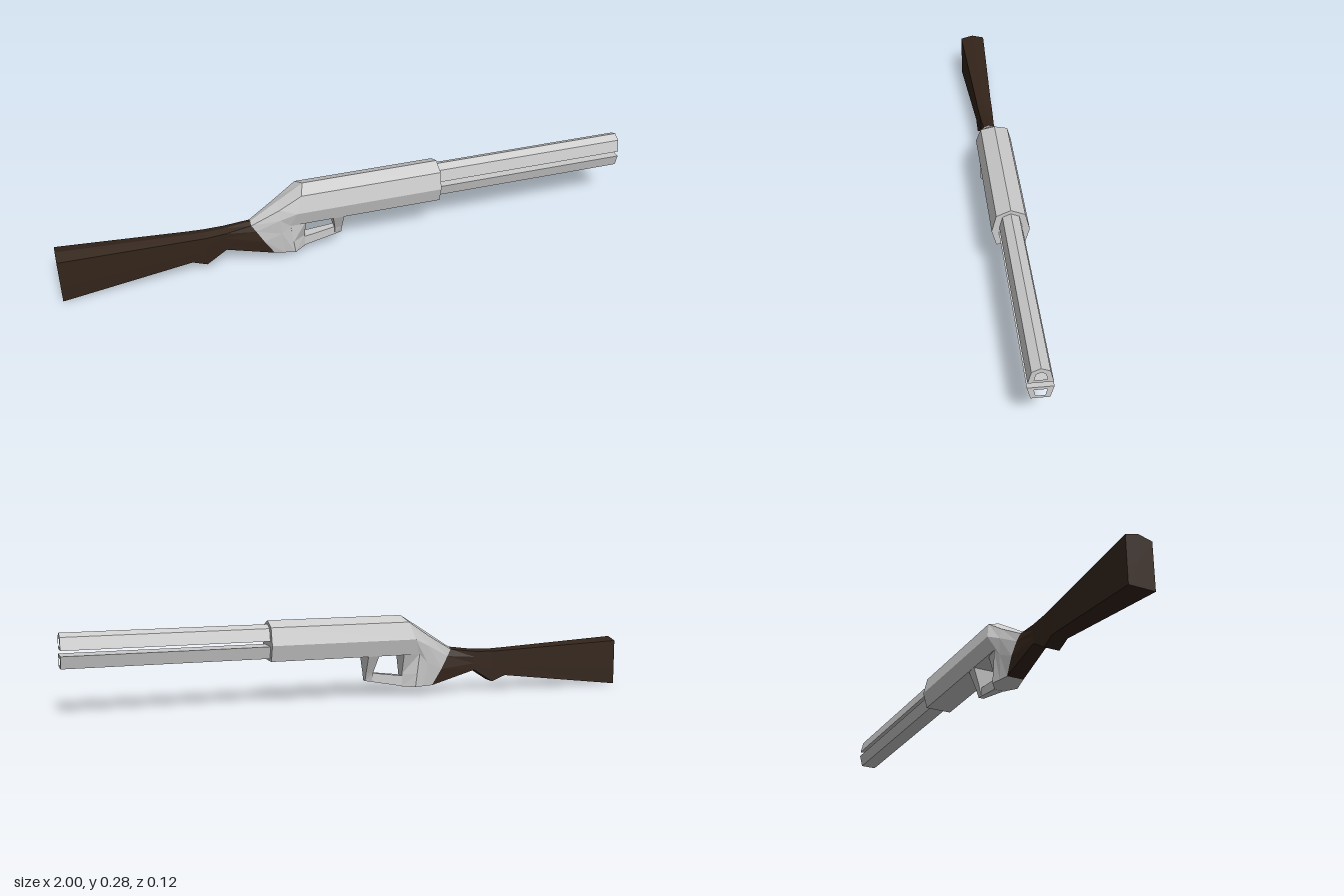
import * as THREE from 'three';

const metal = new THREE.MeshStandardMaterial({ color: 0xcccccc, flatShading: true });
const wood = new THREE.MeshStandardMaterial({ color: 0x33241a, flatShading: true });

// Skin a run of equal-length rings of [x, y, z] and close both ends.
function loft(name, rings, material) {
  const n = rings[0].length;
  const pos = [];
  const tri = (...pts) => pts.forEach((p) => pos.push(...p));
  for (let k = 0; k < rings.length - 1; k++) {
    for (let i = 0; i < n; i++) {
      const j = (i + 1) % n;
      const a = rings[k][i], b = rings[k][j], c = rings[k + 1][j], d = rings[k + 1][i];
      tri(a, b, c);
      tri(a, c, d);
    }
  }
  const centre = (r) => [0, 1, 2].map((m) => r.reduce((s, p) => s + p[m], 0) / n);
  const first = rings[0], last = rings[rings.length - 1];
  const c0 = centre(first), c1 = centre(last);
  for (let i = 0; i < n; i++) {
    const j = (i + 1) % n;
    tri(c0, first[j], first[i]);
    tri(c1, last[i], last[j]);
  }
  const geo = new THREE.BufferGeometry();
  geo.setAttribute('position', new THREE.Float32BufferAttribute(pos, 3));
  geo.computeVertexNormals();
  const mesh = new THREE.Mesh(geo, material);
  mesh.name = name;
  return mesh;
}

// Complete a half ring (top to bottom on the +z side) with its mirror image.
function mirrorRing(half) {
  const other = half.filter((p) => p[2] > 0).map(([x, y, z]) => [x, y, -z]).reverse();
  return [...half, ...other];
}

// Rectangle at one height, for parts stacked upwards.
const slab = (y, x0, z0, x1, z1) => [[x0, y, z0], [x1, y, z1], [x1, y, -z1], [x0, y, -z0]];

// Hollow straight tube along x from a half outline of [z, y] and a half bore.
function tube(name, outer, bore, x0, x1) {
  const full = (half) => [
    ...half,
    ...half.filter((p) => p[0] > 0).map(([z, y]) => [-z, y]).reverse(),
  ].map(([z, y]) => new THREE.Vector2(z, y));
  const group = new THREE.Group();
  group.name = name;
  const add = (part, shape, from, to) => {
    const geo = new THREE.ExtrudeGeometry(shape, { depth: to - from, bevelEnabled: false });
    geo.rotateY(Math.PI / 2).translate(from, 0, 0);
    const mesh = new THREE.Mesh(geo, metal);
    mesh.name = part;
    group.add(mesh);
  };
  const wall = new THREE.Shape(full(outer));
  wall.holes.push(new THREE.Path(full(bore)));
  add('tubeWall', wall, x0, x1);
  add('boreEnd', new THREE.Shape(full(bore)), x0, x1 - 0.1);
  return group;
}

export function createModel() {
  const model = new THREE.Group();

  // Slanted joint between stock and receiver, and the rear of the main body
  const joint = [[-0.35, 0.165, 0], [-0.35, 0.158, 0.019], [-0.335, 0.135, 0.026], [-0.31, 0.092, 0.032], [-0.275, 0.035, 0.03]];
  const waist = [[-0.255, 0.227, 0], [-0.255, 0.214, 0.037], [-0.255, 0.178, 0.046], [-0.25, 0.12, 0.043], [-0.24, 0.035, 0.038]];
  const rear = [[-0.165, 0.285, 0], [-0.18, 0.265, 0.047], [-0.2, 0.205, 0.062], [-0.22, 0.15, 0.047], [-0.205, 0.035, 0.047]];
  const front = rear.slice(0, 4).map(([, y, z]) => [0.315, y, z]);

  // Stock: [x, top, bottom, half width]
  const stockRings = [
    [-1, 0.175, 0.003, 0.045],
    [-0.56, 0.153, 0.055, 0.028],
    [-0.51, 0.151, 0.035, 0.027],
    [-0.44, 0.153, 0.08, 0.024],
  ].map(([x, top, bottom, w]) => {
    const shoulder = top - w * 0.25;
    const at = (t) => [x, shoulder + (bottom - shoulder) * t, w];
    return mirrorRing([[x, top, 0], at(0), at(0.3), at(0.65), at(1)]);
  });
  model.add(loft('stock', [...stockRings, mirrorRing(joint)], wood));

  // Receiver
  model.add(loft('receiverRear', [joint, waist, rear].map(mirrorRing), metal));
  model.add(loft('receiverBody', [rear.slice(0, 4), front].map(mirrorRing), metal));
  model.add(loft('gripFront', [
    slab(0.035, -0.205, 0.047, -0.165, 0.018),
    slab(0.08, -0.211, 0.047, -0.165, 0.018),
    slab(0.152, -0.22, 0.047, -0.165, 0.04),
  ], metal));

  // Trigger guard: sloping lower bar and flared front post
  const barEnd = (x, bottom, top, z) => [[x, top, z], [x, bottom, z], [x, bottom, -z], [x, top, -z]];
  model.add(loft('guardBar', [barEnd(-0.17, 0.035, 0.072, 0.018), barEnd(-0.033, 0.06, 0.09, 0.01)], metal));
  model.add(loft('guardPost', [
    slab(0.06, -0.055, 0.012, -0.031, 0.009),
    slab(0.09, -0.057, 0.02, -0.031, 0.02),
    slab(0.152, -0.07, 0.047, -0.031, 0.047),
  ], metal));

  // Upper and lower tubes
  model.add(tube('upperTube',
    [[0, 0.272], [0.027, 0.26], [0.037, 0.218]],
    [[0, 0.257], [0.014, 0.25], [0.019, 0.228]], 0.3, 1));
  model.add(tube('lowerTube',
    [[0.039, 0.2], [0.028, 0.158]],
    [[0.019, 0.19], [0.014, 0.167]], 0.3, 1));

  return model;
}
